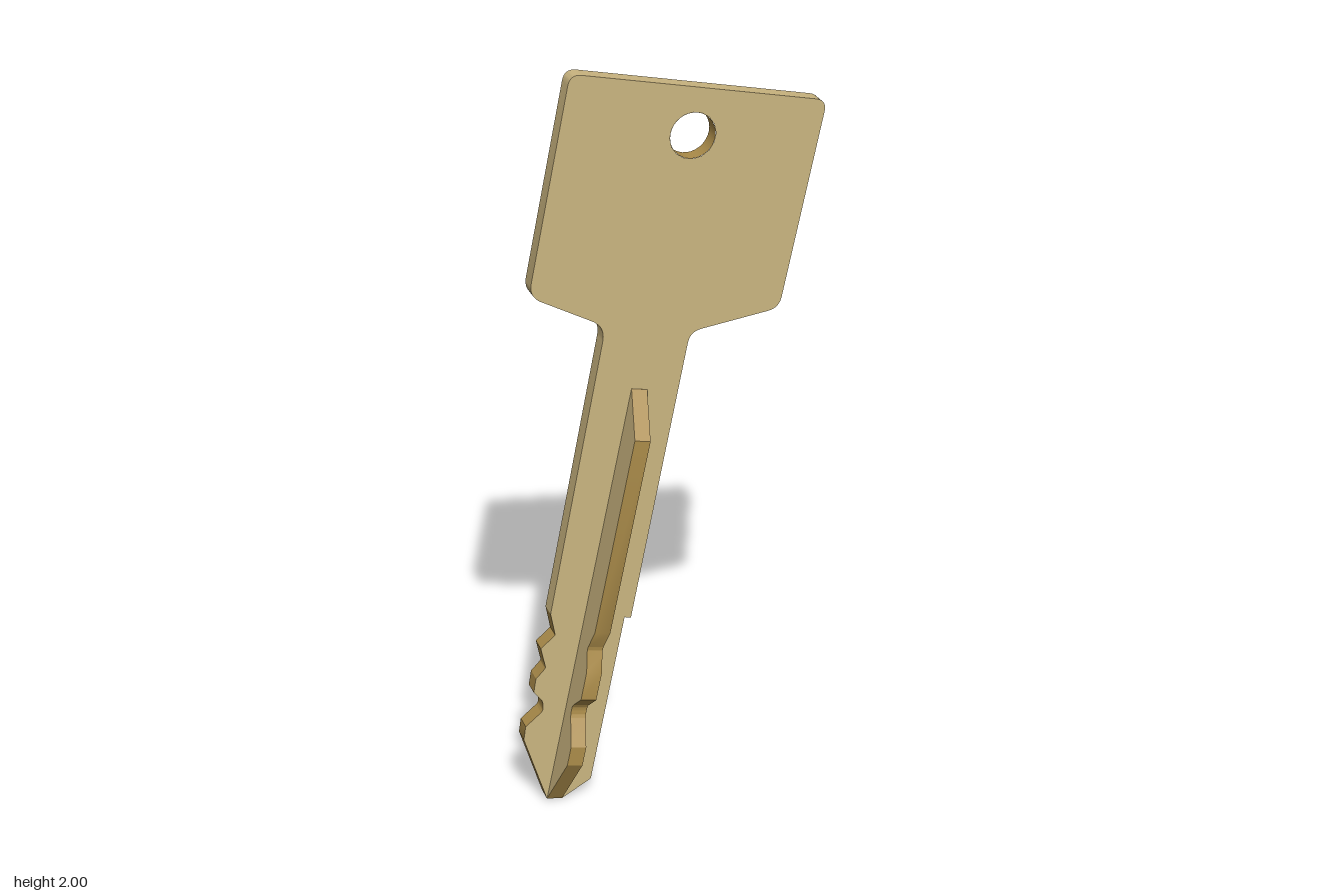
import * as THREE from 'three';
import { toCreasedNormals } from 'three/addons/utils/BufferGeometryUtils.js';

const THICK = 0.045;
const TILT = 0.206; // lean of the whole key, in radians

// Closed outline from [x, y, cornerRadius] points
function outline(points) {
  const shape = new THREE.Shape();
  const n = points.length;
  points.forEach(([x, y, r = 0], i) => {
    const p = new THREE.Vector2(x, y);
    const towards = (q) => new THREE.Vector2(q[0], q[1]).sub(p).setLength(r).add(p);
    const a = r ? towards(points[(i + n - 1) % n]) : p;
    if (i === 0) shape.moveTo(a.x, a.y);
    else shape.lineTo(a.x, a.y);
    if (r) {
      const b = towards(points[(i + 1) % n]);
      shape.quadraticCurveTo(x, y, b.x, b.y);
    }
  });
  shape.closePath();
  return shape;
}

// Flat slab centred on its thickness
function slab(shape, depth) {
  const geo = new THREE.ExtrudeGeometry(shape, { depth, bevelEnabled: false, curveSegments: 8 });
  geo.translate(0, 0, -depth / 2);
  return toCreasedNormals(geo, 0.5);
}

export function createModel() {
  const brass = new THREE.MeshStandardMaterial({ color: 0xcab580 });
  brass.name = 'brass';
  const cutBrass = new THREE.MeshStandardMaterial({ color: 0xab8c4a });
  cutBrass.name = 'cut brass';
  const lining = new THREE.MeshStandardMaterial({ color: 0xab8c4a, side: THREE.DoubleSide });
  lining.name = 'cut brass lining';

  const key = new THREE.Group();
  key.name = 'key';
  const add = (name, geo, mat) => {
    const mesh = new THREE.Mesh(geo, mat);
    mesh.name = name;
    key.add(mesh);
    return mesh;
  };

  // Bow and upper shank, with the ring hole
  const bow = outline([
    [-0.248, 2.006, 0.03], [0.404, 1.868, 0.03], [0.289, 1.335, 0.03],
    [0.053, 1.304, 0.03], [-0.106, 0.521], [-0.323, 0.568],
    [-0.167, 1.35, 0.04], [-0.361, 1.455, 0.035],
  ]);
  const hole = new THREE.Path();
  hole.absarc(0.058, 1.818, 0.059, 0, Math.PI * 2, true);
  bow.holes.push(hole);
  add('bowAndShank', slab(bow, THICK), brass);

  // Lining of the ring hole
  const ring = new THREE.CylinderGeometry(0.058, 0.058, THICK, 32, 1, true);
  ring.rotateX(Math.PI / 2);
  add('holeLining', ring, lining).position.set(0.058, 1.818, 0);

  // Cut lower blade with teeth, a step on the far edge and a pointed tip
  const blade = outline([
    [-0.323, 0.568], [-0.106, 0.521], [-0.1065, 0.518], [-0.124, 0.522],
    [-0.222, 0.048], [-0.302, 0.004], [-0.344, 0.011],
    [-0.403, 0.206], [-0.397, 0.245], [-0.349, 0.284, 0.008], [-0.349, 0.312, 0.008],
    [-0.373, 0.344], [-0.366, 0.384], [-0.339, 0.412, 0.006], [-0.343, 0.43, 0.006],
    [-0.351, 0.471], [-0.312, 0.505],
  ]);
  add('toothedBlade', slab(blade, THICK), [brass, cutBrass]);

  // Crossing fin: profile across the thickness and along the shank
  const fin = outline([
    [0.023, 1.185], [0.11, 1.082], [0.11, 0.543], [0.085, 0.488, 0.006], [0.085, 0.476, 0.006],
    [0.11, 0.428], [0.11, 0.348], [0.063, 0.304, 0.01], [0.063, 0.278, 0.01],
    [0.11, 0.207], [0.11, 0.153], [0.023, 0.001],
    [-0.023, 0.001], [-0.11, 0.115], [-0.085, 0.175, 0.01], [-0.11, 0.24],
    [-0.11, 0.418], [-0.085, 0.483, 0.01], [-0.11, 0.548], [-0.11, 1.082], [-0.023, 1.185],
  ]);
  const finGeo = slab(fin, 0.042);
  finGeo.rotateY(-Math.PI / 2);
  finGeo.rotateZ(-TILT);
  add('crossFin', finGeo, [brass, cutBrass]).position.set(-0.323, 0.0075, 0);

  return key;
}
